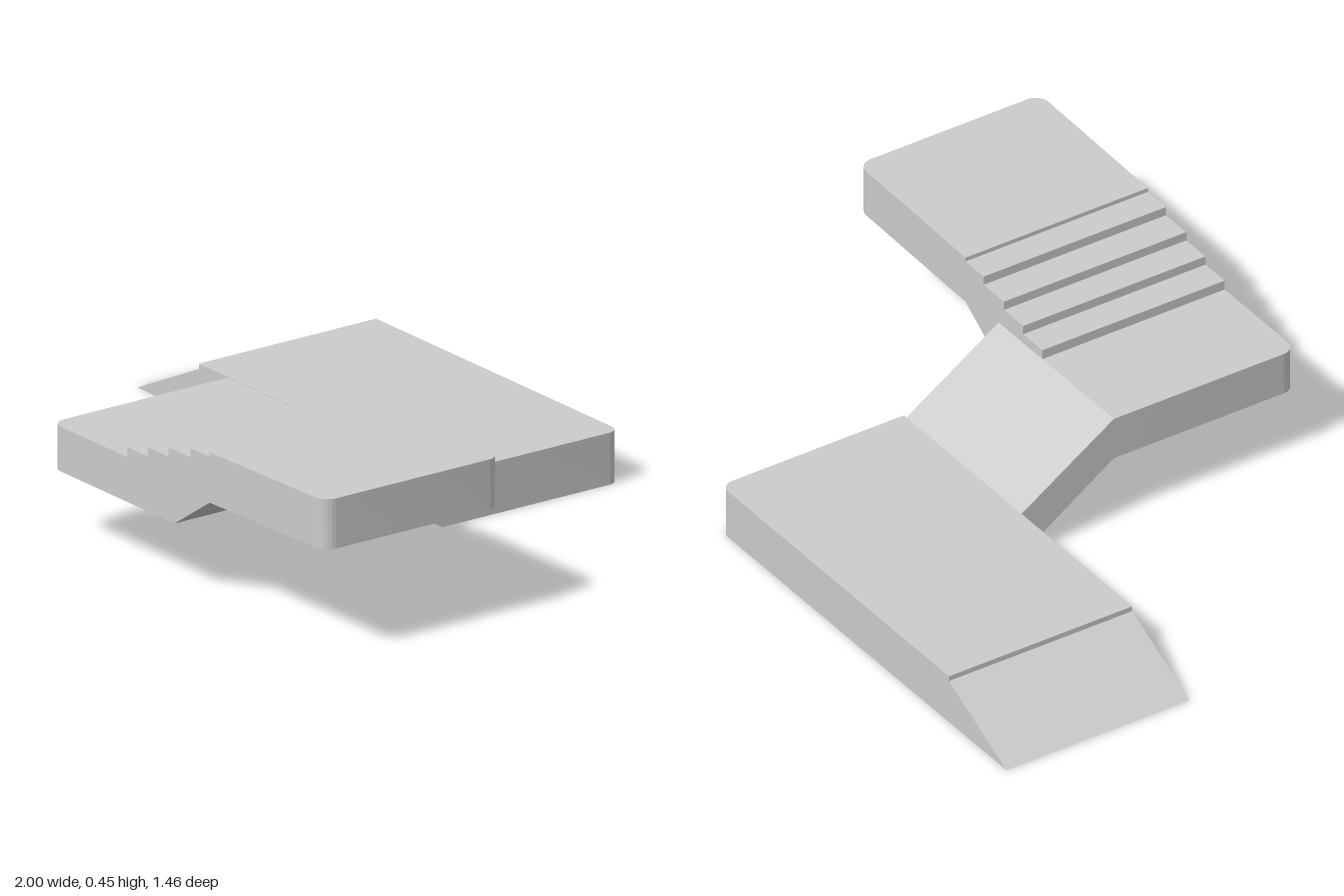
import * as THREE from 'three';
import { toCreasedNormals } from 'three/addons/utils/BufferGeometryUtils.js';

const material = new THREE.MeshStandardMaterial({ color: 0xcccccc });

function makeMesh(name, geometry) {
  const mesh = new THREE.Mesh(toCreasedNormals(geometry, 0.6), material);
  mesh.name = name;
  return mesh;
}

// Flat slab with its own radius at each plan corner; bottom and top heights may slope along x.
// radii: [back left edge x0, back x1, front x1, front x0]
function slab(name, [x0, x1], [z0, z1], radii, bottom, top) {
  const [a, b, c, d] = radii;
  const s = new THREE.Shape();
  s.moveTo(x0 + d, -z1);
  s.lineTo(x1 - c, -z1);
  if (c) s.absarc(x1 - c, -z1 + c, c, -Math.PI / 2, 0);
  s.lineTo(x1, -z0 - b);
  if (b) s.absarc(x1 - b, -z0 - b, b, 0, Math.PI / 2);
  s.lineTo(x0 + a, -z0);
  if (a) s.absarc(x0 + a, -z0 - a, a, Math.PI / 2, Math.PI);
  s.lineTo(x0, -z1 + d);
  if (d) s.absarc(x0 + d, -z1 + d, d, Math.PI, Math.PI * 1.5);
  const g = new THREE.ExtrudeGeometry(s, { depth: 1, bevelEnabled: false, curveSegments: 8 });
  g.rotateX(-Math.PI / 2);
  const p = g.attributes.position;
  for (let i = 0; i < p.count; i++) {
    const t = (p.getX(i) - x0) / (x1 - x0);
    const ends = p.getY(i) > 0.5 ? top : bottom;
    p.setY(i, THREE.MathUtils.lerp(ends[0], ends[1], t));
  }
  return makeMesh(name, g);
}

// Side profile extruded to a given width
function profile(points, depth) {
  const shape = new THREE.Shape(points.map(([x, y]) => new THREE.Vector2(x, y)));
  return new THREE.ExtrudeGeometry(shape, { depth, bevelEnabled: false });
}

export function createModel() {
  const group = new THREE.Group();
  const lowZ = [-0.73, -0.15];
  const highZ = [0.15, 0.727];

  // Lower deck and its entry ramp
  group.add(slab('lowerDeck', [-0.73, 0.34], lowZ, [0, 0.035, 0, 0], [0, 0], [0.145, 0.145]));
  const entry = profile([[-1, 0], [-0.73, 0], [-0.73, 0.13]], 0.58);
  group.add(makeMesh('entryRamp', entry.translate(0, 0, lowZ[0])));

  // Sloping link between the lower deck and the landing
  const link = profile([[-0.15, 0.2], [0.15, 0], [0.15, 0.13], [-0.15, 0.325]], 0.54);
  group.add(makeMesh('linkRamp', link.rotateY(Math.PI / 2).translate(-0.2, 0, 0)));

  // Landing
  group.add(slab('landing', [-0.2, 0.135], highZ, [0, 0, 0, 0.04], [0.2, 0.2], [0.325, 0.325]));

  // Stairs with a sloping underside
  const stairs = [[0.135, 0.2], [0.34, 0.2], [0.495, 0.303]];
  const edges = [0.135, 0.225, 0.315, 0.41, 0.495];
  for (let i = 3; i >= 0; i--) {
    const y = 0.353 + i * 0.026;
    stairs.push([edges[i + 1], y], [edges[i], y]);
  }
  group.add(makeMesh('stairs', profile(stairs, highZ[1] - highZ[0]).translate(0, 0, highZ[0])));

  // Upper deck, rising gently outward
  group.add(slab('upperDeck', [0.495, 1], highZ, [0, 0.04, 0.04, 0], [0.303, 0.314], [0.443, 0.454]));
  return group;
}
